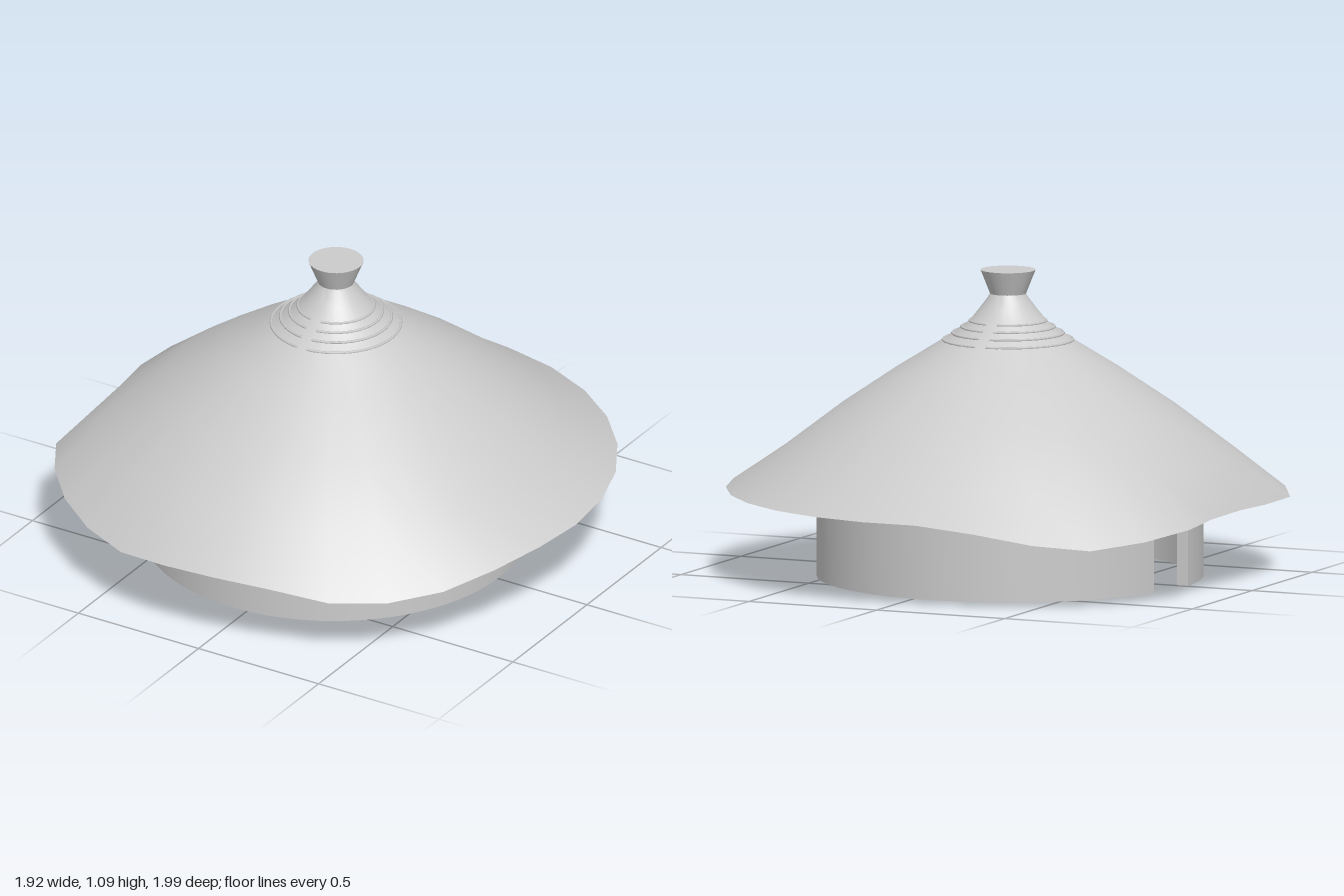
import * as THREE from 'three';
import { toCreasedNormals } from 'three/addons/utils/BufferGeometryUtils.js';

const material = new THREE.MeshStandardMaterial({ color: 0xcccccc });
const deg = Math.PI / 180;
const AXIS_X = -0.045;

function addMesh(parent, name, geometry, x = 0, y = 0, z = 0) {
  const mesh = new THREE.Mesh(geometry, material);
  mesh.name = name;
  mesh.position.set(x, y, z);
  parent.add(mesh);
  return mesh;
}

// Eave height and radius every 12 degrees, from +x towards +z
const eaveY = [
  0.31, 0.31, 0.29, 0.255, 0.24, 0.25, 0.29, 0.3, 0.29, 0.265,
  0.27, 0.28, 0.29, 0.28, 0.28, 0.285, 0.275, 0.265, 0.24, 0.22,
  0.245, 0.285, 0.31, 0.31, 0.31, 0.31, 0.31, 0.31, 0.31, 0.31];
const eaveR = { 14: 0.937, 15: 0.91, 16: 0.905, 17: 0.98 };

// Solid conical roof: underside from the centre outwards, then up the outside
function roofGeometry() {
  const profile = [
    [0, 0.6], [0.66, 0.41], [1, 0.31],
    [0.81, 0.44], [0.6, 0.6], [0.4, 0.735], [0.235, 0.838],
    [0.14, 0.905], [0.1, 0.955], [0.07, 0.995], [0.062, 1.01], [0, 1.01],
  ].map(([r, y]) => new THREE.Vector2(r, y));
  const geo = new THREE.LatheGeometry(profile, 30, Math.PI / 2);
  const p = geo.attributes.position;
  for (let i = 0; i < p.count; i++) {
    const x = p.getX(i), z = p.getZ(i);
    if (Math.hypot(x, z) < 0.99) continue;
    const k = (Math.round(Math.atan2(z, x) / (12 * deg)) + 30) % 30;
    const r = eaveR[k] ?? 1;
    p.setXYZ(i, x * r, eaveY[k], z * r);
  }
  return toCreasedNormals(geo, 40 * deg);
}

// Curved piece of the ring wall between two angles and two heights
function wallGeometry(a0, a1, y0, y1) {
  const shape = new THREE.Shape();
  shape.absarc(0, 0, 0.686, a0 * deg, a1 * deg, false);
  shape.absarc(0, 0, 0.645, a1 * deg, a0 * deg, true);
  const geo = new THREE.ExtrudeGeometry(shape, {
    depth: y1 - y0, bevelEnabled: false, curveSegments: Math.max(4, Math.round((a1 - a0) / 5)),
  });
  geo.rotateX(Math.PI / 2).translate(0, y1, 0);
  return toCreasedNormals(geo, 30 * deg);
}

export function createModel() {
  const model = new THREE.Group();
  model.name = 'roundHut';

  // Ring wall with a doorway on one side and a small window opposite
  const wall = new THREE.Group();
  wall.name = 'wall';
  wall.position.set(-0.058, 0, -0.01);
  model.add(wall);
  const top = 0.415;
  const doorA = 178.3, doorB = 197, winA = 342.4, winB = 350.8;
  addMesh(wall, 'frontWall', wallGeometry(winB - 360, doorA, 0, top));
  addMesh(wall, 'backWall', wallGeometry(doorB, winA, 0, top));
  addMesh(wall, 'doorLintel', wallGeometry(doorA, doorB, 0.32, top));
  addMesh(wall, 'windowSill', wallGeometry(winA, winB, 0, 0.2));
  addMesh(wall, 'windowLintel', wallGeometry(winA, winB, 0.268, top));

  // Centre post
  addMesh(model, 'centrePost', new THREE.CylinderGeometry(0.078, 0.078, 0.62, 32), AXIS_X, 0.31, 0);

  // Roof with its wavy eave
  addMesh(model, 'roof', roofGeometry(), AXIS_X, 0, 0);

  // Binding bands near the peak, each in two halves
  const bands = [[0.23, 0.841], [0.197, 0.865], [0.165, 0.887], [0.135, 0.909]];
  for (const [r, y] of bands) {
    for (const side of [0, 1]) {
      const gap = 0.02 / r;
      const geo = new THREE.TorusGeometry(r, 0.005, 6, 32, Math.PI - 2 * gap);
      geo.rotateZ(gap - Math.PI / 2 + side * Math.PI).rotateX(Math.PI / 2);
      addMesh(model, 'roofBand', geo, AXIS_X, y, 0);
    }
  }

  // Flared finial
  addMesh(model, 'finial', new THREE.CylinderGeometry(0.098, 0.062, 0.09, 32), AXIS_X, 1.046, 0);

  return model;
}
